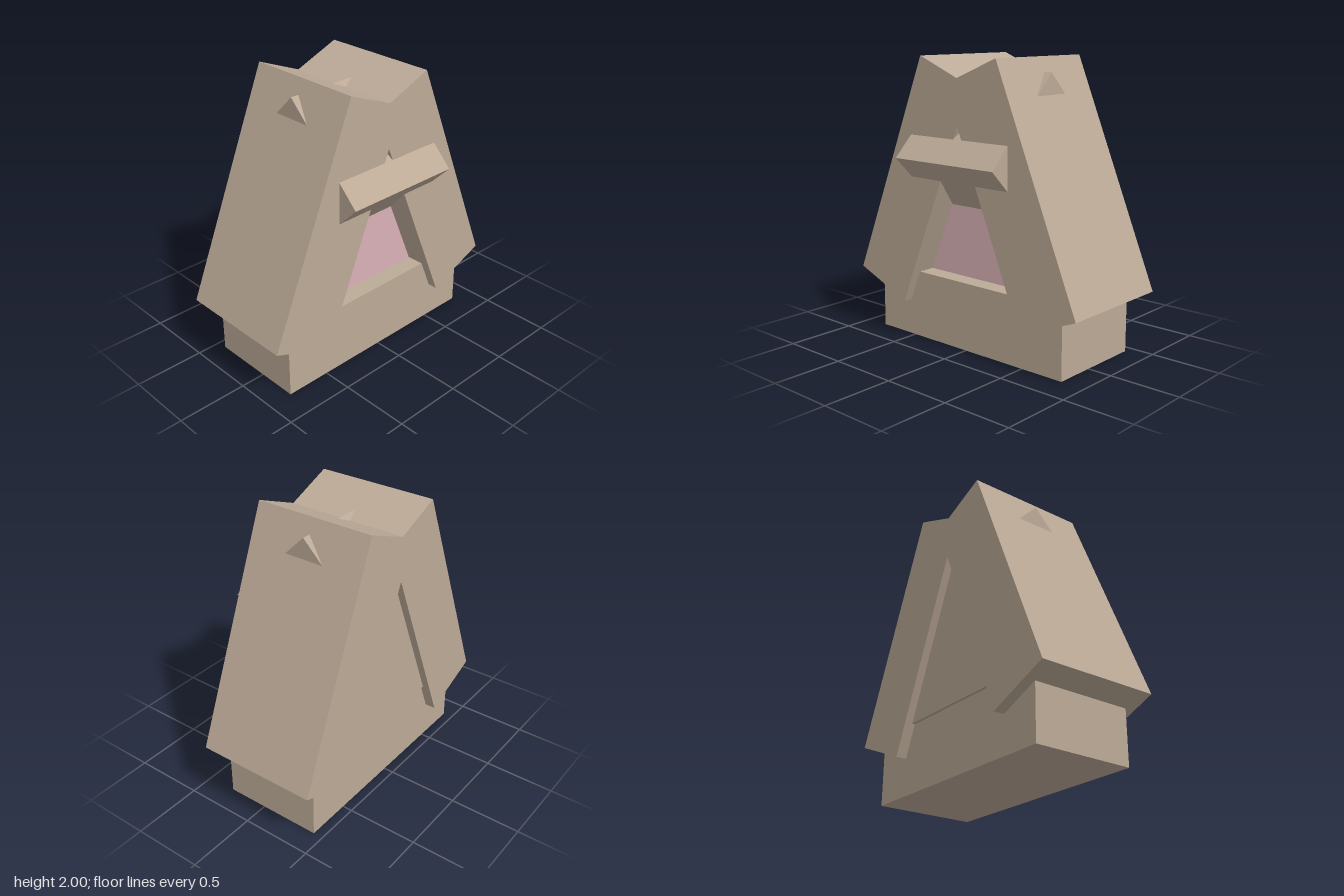
import * as THREE from 'three';

export function createModel() {
  const model = new THREE.Group();
  const material = (name, color) => {
    const m = new THREE.MeshStandardMaterial({ color });
    m.name = name;
    return m;
  };
  const tan = material('tan', 0xbcaa97);
  const pink = material('pink', 0xdab1b7);

  const add = (name, geometry, mat) => {
    const mesh = new THREE.Mesh(geometry, mat);
    mesh.name = name;
    model.add(mesh);
  };
  const box = (name, mat, [x0, x1], [y0, y1], [z0, z1]) => {
    const g = new THREE.BoxGeometry(x1 - x0, y1 - y0, z1 - z0);
    g.translate((x0 + x1) / 2, (y0 + y1) / 2, (z0 + z1) / 2);
    add(name, g, mat);
  };
  const prism = (points, depth) => new THREE.ExtrudeGeometry(
    new THREE.Shape(points.map(([x, y]) => new THREE.Vector2(x, y))),
    { depth, bevelEnabled: false });

  // Block the house stands on
  box('base', tan, [-0.825, 0.825], [0, 0.48], [-0.43, 0.29]);

  // Two leaning slabs crossing at the ridge, as one outline
  const roof = prism([
    [-0.98, 0.44], [-0.535, 0.26], [0, 1.554], [0.535, 0.26],
    [0.98, 0.44], [0.333, 2], [0, 1.865], [-0.333, 2],
  ], 0.865);
  roof.translate(0, 0, -0.505);
  add('roof', roof, tan);

  // Tilted block through the roof: canopy in front, small peaks above (z, y section)
  const canopy = prism([[-0.073, 1.9], [-0.43, 1.543], [0.148, 0.963], [0.505, 1.32]], 0.87);
  canopy.rotateY(-Math.PI / 2);
  canopy.translate(0.435, 0, 0);
  add('canopy', canopy, tan);

  // Recessed front panel and rear wall
  box('frontPanel', pink, [-0.47, 0.47], [0.48, 0.985], [-0.2, 0.163]);
  box('backWall', tan, [-0.47, 0.47], [0.48, 1.58], [-0.45, -0.2]);

  return model;
}
